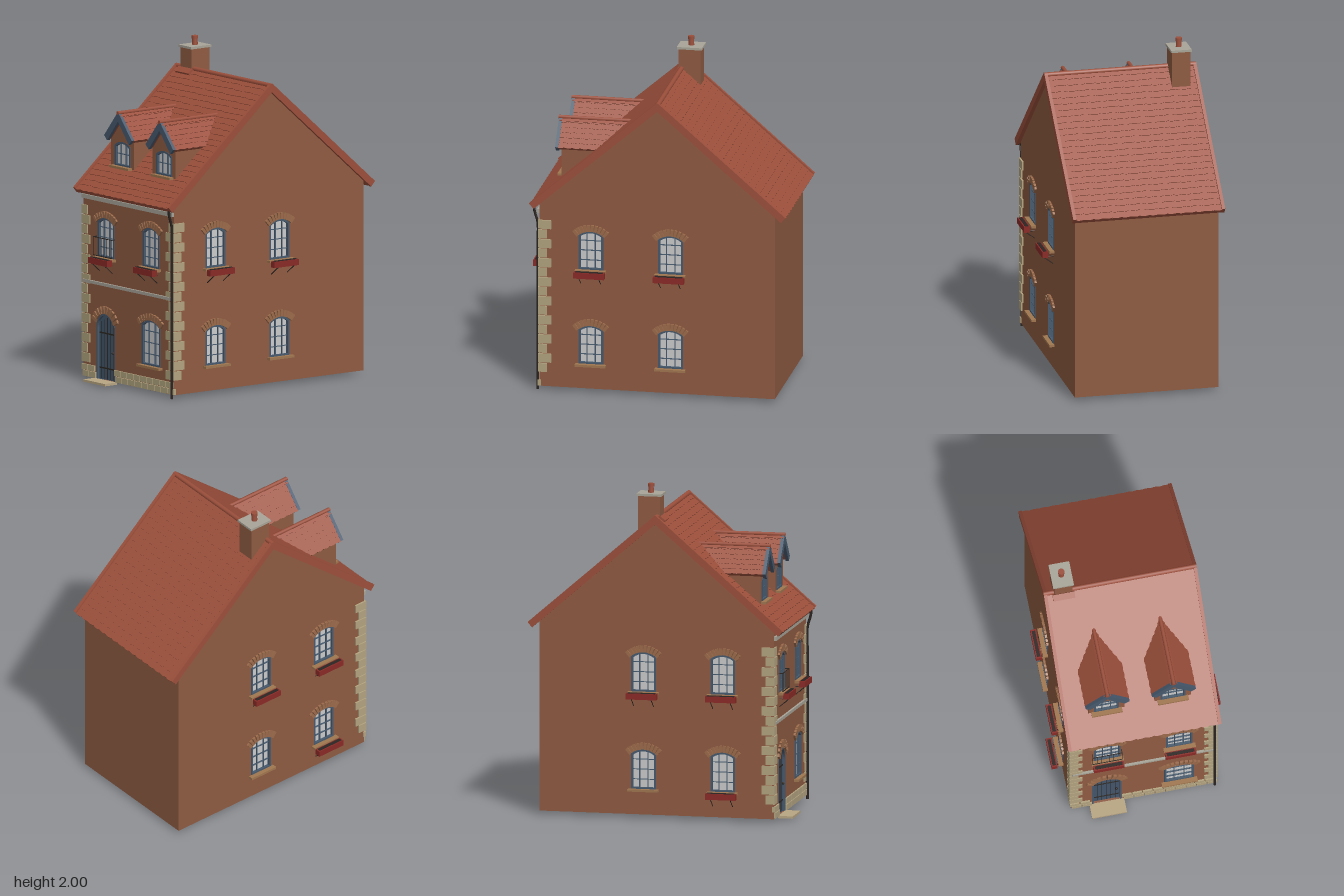
import * as THREE from 'three';

const COL = { wall: 0x8f5b42, roof: 0x9c4f3b, stone: 0xb3a480, arch: 0x9c6b4b, frame: 0x475a6e, door: 0x42566b,
  glass: 0xcccccc, red: 0x8a2a26, dark: 0x2b2522, trim: 0xa8a498, lining: 0xb8a683, sill: 0xa0764f };
const mats = {};
// Dark metalwork uses open tubes, so it is double sided
const mat = (c) => (mats[c] ??= new THREE.MeshStandardMaterial({ color: COL[c], side: c === 'dark' ? THREE.DoubleSide : THREE.FrontSide }));

function mk(parent, name, geo, c, x = 0, y = 0, z = 0) {
  const m = new THREE.Mesh(geo, mat(c));
  m.name = name;
  m.position.set(x, y, z);
  parent.add(m);
  return m;
}
const box = (p, name, c, w, h, d, x, y, z) => mk(p, name, new THREE.BoxGeometry(w, h, d), c, x, y, z);
const extrude = (shape, depth) => new THREE.ExtrudeGeometry(shape, { depth, bevelEnabled: false, curveSegments: 10 });
const poly = (pts) => new THREE.Shape(pts.map((p) => new THREE.Vector2(...p)));
function group(parent, name, x = 0, y = 0, z = 0, ry = 0) {
  const g = new THREE.Group();
  g.name = name;
  g.position.set(x, y, z);
  g.rotation.y = ry;
  parent.add(g);
  return g;
}
function rod(p, name, c, a, b, r) {
  const path = new THREE.LineCurve3(new THREE.Vector3(...a), new THREE.Vector3(...b));
  return mk(p, name, new THREE.TubeGeometry(path, 1, r, 6), c);
}

// Radius and half angle of an arch
function arc(w, rise) {
  const R = (w * w / 4 + rise * rise) / (2 * rise);
  return { R, a: Math.asin(Math.min(1, w / 2 / R)) };
}

// Opening outline with an arched head
function arched(x, y, w, h, rise, P = THREE.Shape) {
  const s = new P(), { R, a } = arc(w, rise);
  s.moveTo(x - w / 2, y);
  s.lineTo(x + w / 2, y);
  s.absarc(x, y + h - R, R, Math.PI / 2 - a, Math.PI / 2 + a, false);
  s.closePath();
  return s;
}

// Bricks fanned over an opening
function brickArch(g, w, h, rise, n, tall, spread) {
  const { R, a } = arc(w, rise), end = a * spread, r = R + tall / 2, bw = 2 * end * R / n * 0.95;
  for (let i = 0; i < n; i++) {
    const t = end - (i + 0.5) * 2 * end / n;
    box(g, 'archBrick', 'arch', bw, tall, 0.026, -Math.sin(t) * r, h - R + Math.cos(t) * r, 0).rotation.z = t;
  }
}

// Window: origin at sill centre, wall surface at z = 0
function addWindow(g, { w, h, rise, planter, plain }) {
  const frame = arched(0, 0, w, h, rise);
  frame.holes.push(arched(0, 0.012, w - 0.024, h - 0.024, rise * 0.85, THREE.Path));
  mk(g, 'windowFrame', extrude(frame, 0.02), 'frame', 0, 0, -0.018);
  mk(g, 'glass', extrude(arched(0, 0, w, h, rise), 0.008), 'glass', 0, 0, -0.022);
  for (const s of [-1, 1]) box(g, 'glazingBar', 'frame', 0.005, h - 0.024, 0.012, s * w / 6, h / 2, -0.01);
  const rows = plain ? 2 : 4;
  for (let i = 1; i < rows; i++) box(g, 'glazingBar', 'frame', w - 0.02, 0.004, 0.01, 0, h * i / rows, -0.01);
  if (!plain) brickArch(g, w, h, rise, 10, 0.04, 1.15);
  box(g, 'windowSill', 'sill', w + 0.035, 0.014, 0.04, 0, -0.005, 0.01);
  if (!planter) return;
  box(g, 'flowerBox', 'red', 0.185, 0.036, 0.036, 0, -0.018, planter);
  box(g, 'flowerBoxSoil', 'dark', 0.165, 0.004, 0.02, 0, 0.001, planter);
  for (const s of [-1, 1]) {
    rod(g, 'bracketArm', 'dark', [s * 0.06, -0.038, 0], [s * 0.06, -0.038, planter + 0.012], 0.0025);
    rod(g, 'bracketStrut', 'dark', [s * 0.06, -0.085, 0], [s * 0.06, -0.038, planter + 0.008], 0.0025);
  }
}

// Tiled slope rising towards local -z; eave at (y0, run)
function tiledSlope(parent, width, run, rise, y0, rows, tiles) {
  const g = group(parent, 'slope', 0, y0, run), len = Math.hypot(run, rise), pitch = len / rows;
  g.rotation.x = -Math.atan2(run, rise);
  box(g, 'roofBoard', 'roof', width, len, 0.026, 0, len / 2, -0.017);
  const s = new THREE.Shape(), tw = width / tiles;
  s.moveTo(-width / 2, 0);
  for (let i = 0; i < tiles; i++) for (let k = 1; k <= 4; k++)
    s.lineTo(-width / 2 + (i + k / 4) * tw, -0.005 * Math.sin(k / 4 * Math.PI));
  s.lineTo(width / 2, pitch);
  s.lineTo(-width / 2, pitch);
  const geo = extrude(s, 0.005);
  for (let i = 0; i < rows; i++) mk(g, 'tileRow', geo, 'roof', 0, i * pitch, -0.003).rotation.x = -0.08;
  return { g, len };
}

export function createModel() {
  const house = new THREE.Group();
  house.name = 'townHouse';
  const X = 0.437, ZF = 0.7, ZB = -0.72, Y0 = 0.024, EAVE = 1.15, T = 0.03;

  // Front wall with its openings
  const door = { x: -0.22, y: Y0, w: 0.18, h: 0.4, rise: 0.088 };
  const fronts = [
    { x: -0.217, y: 0.76, w: 0.158, h: 0.24, rise: 0.028, planter: 0.046 },
    { x: 0.217, y: 0.76, w: 0.158, h: 0.24, rise: 0.028, planter: 0.046 },
    { x: 0.217, y: 0.17, w: 0.18, h: 0.275, rise: 0.03 }];
  const fx = X - 0.001;
  const fw = poly([[-fx, Y0], [fx, Y0], [fx, EAVE], [-fx, EAVE]]);
  for (const o of [door, ...fronts]) fw.holes.push(arched(o.x, o === door ? o.y + 0.001 : o.y, o.w, o.h, o.rise, THREE.Path));
  mk(house, 'frontWall', extrude(fw, T), 'wall', 0, 0, ZF - T);
  for (const o of fronts) addWindow(group(house, 'frontWindow', o.x, o.y, ZF), o);
  box(house, 'backWall', 'wall', 2 * fx, EAVE - Y0, T, 0, (EAVE + Y0) / 2, ZB + T / 2);

  // Gable walls, each with four windows
  for (const s of [-1, 1]) {
    const g = group(house, s > 0 ? 'leftGable' : 'rightGable', s * X, 0, 0, s * Math.PI / 2);
    const gable = poly([[ZF, Y0], [ZF, 1.165], [-0.015, 1.79], [ZB, 1.175], [ZB, Y0]].map(([z, y]) => [-s * z, y]));
    for (const z of [0.39, -0.09]) for (const y of [0.175, 0.76]) {
      const o = { w: 0.15, h: 0.24, rise: 0.026, planter: (y > 0.5 || (s < 0 && z > 0)) && 0.055 };
      gable.holes.push(arched(-s * z, y, o.w, o.h, o.rise, THREE.Path));
      addWindow(group(g, 'sideWindow', -s * z, y, 0), o);
    }
    mk(g, 'gableWall', extrude(gable, T), 'wall', 0, 0, -T);
  }

  // Interior seen through the open underside
  const IX = X - T - 0.002;
  box(house, 'ceiling', 'lining', 2 * IX, 0.01, 1.35, 0, 1.11, -0.01);
  for (const s of [-1, 1]) box(house, 'sideLining', 'lining', 0.004, 1.06, 1.02, s * IX, 0.575, 0.16);
  box(house, 'frontLining', 'lining', 2 * IX, 1.06, 0.004, 0, 0.575, ZF - T - 0.003);
  box(house, 'groundFloor', 'lining', 2 * IX, 0.02, 0.565, 0, 0.045, 0.385);
  box(house, 'partition', 'lining', 2 * IX, 1.05, 0.02, 0, 0.58, 0.1);
  box(house, 'innerBlock', 'lining', 0.23, 0.4, 0.4, -0.235, 0.24, -0.11);
  box(house, 'innerBlock', 'lining', 0.2, 0.3, 0.4, 0.295, 0.2, -0.15);

  // Door, step and arch
  const d = group(house, 'frontDoor', door.x, Y0, ZF);
  mk(d, 'doorLeaf', extrude(arched(0, 0, door.w, door.h, door.rise), 0.012), 'door', 0, 0, -0.025);
  const surround = arched(0, 0, door.w, door.h, door.rise);
  surround.holes.push(arched(0, 0.001, 0.16, door.h - 0.012, 0.078, THREE.Path));
  mk(d, 'doorFrame', extrude(surround, 0.02), 'frame', 0, 0, -0.018);
  for (let i = -2; i <= 2; i++) box(d, 'plankGap', 'dark', 0.003, 0.37 - Math.abs(i) * 0.014, 0.002, i * 0.027, 0.19 - Math.abs(i) * 0.006, -0.012);
  for (const y of [0.07, 0.28]) box(d, 'doorStrap', 'dark', 0.15, 0.008, 0.004, 0, y, -0.011);
  mk(d, 'doorKnob', new THREE.SphereGeometry(0.008, 10, 8), 'dark', 0.06, 0.17, -0.006);
  brickArch(d, door.w, door.h, door.rise, 10, 0.045, 0.8);
  box(house, 'doorStep', 'lining', 0.21, 0.014, 0.09, -0.22, 0.019, 0.745);

  // Railing on the upper right-hand window
  const rail = group(house, 'balconyRail', -0.22, 0.765, ZF + 0.025);
  for (const y of [0.005, 0.115]) box(rail, 'railBar', 'dark', 0.18, 0.004, 0.004, 0, y, 0);
  for (let i = 0; i < 8; i++) box(rail, 'railPost', 'dark', 0.002, 0.115, 0.002, -0.0885 + i * 0.0253, 0.06, 0);
  for (const s of [-1, 1]) box(rail, 'railReturn', 'dark', 0.004, 0.004, 0.03, s * 0.088, 0.115, -0.012);

  // Corner stones and base course
  for (const s of [-1, 1]) for (let i = 0; i < 16; i++) {
    const w = i % 2 ? 0.055 : 0.08, dz = i % 2 ? 0.08 : 0.055;
    box(house, 'cornerStone', 'stone', w, 0.053, dz, s * (X + 0.01 - w / 2), 0.14 + i * 0.0592, ZF + 0.008 - dz / 2);
  }
  for (let r = 0; r < 2; r++) for (let i = 0; i < 14; i++) {
    const x = -0.408 + i * 0.0628 + (r ? -0.006 : 0.006);
    if (Math.abs(x + 0.22) > 0.115) box(house, 'baseStone', 'stone', 0.058, 0.034, 0.02, x, 0.044 + r * 0.038, ZF);
  }

  // Bands, gutter and downpipe
  box(house, 'stringCourse', 'trim', 0.86, 0.018, 0.022, 0, 0.6, ZF + 0.002);
  box(house, 'fascia', 'trim', 0.872, 0.025, 0.022, 0, 1.108, ZF + 0.004);
  mk(house, 'gutter', new THREE.CylinderGeometry(0.016, 0.016, 0.9, 10, 1, true, Math.PI / 2, Math.PI), 'dark', 0, 1.145, 0.734).rotation.z = Math.PI / 2;
  const pipe = new THREE.CatmullRomCurve3([[1.135, 0.734], [1.1, 0.73], [1.04, 0.712], [0.9, 0.711], [0.5, 0.711], [0.1, 0.711], [0.002, 0.711]]
    .map(([y, z]) => new THREE.Vector3(0.43, y, z)));
  mk(house, 'downpipe', new THREE.TubeGeometry(pipe, 40, 0.008, 8), 'dark');

  // Main roof with verge boards and ridge
  for (const [name, ry] of [['frontRoof', 0], ['backRoof', Math.PI]]) {
    const side = group(house, name, 0, 0, -0.015, ry);
    const { g, len } = tiledSlope(side, 0.9, 0.767, 0.664, 1.151, 24, 16);
    for (const s of [-1, 1]) box(g, 'vergeBoard', 'roof', 0.02, len, 0.042, s * 0.452, len / 2, -0.011);
  }
  mk(house, 'ridge', new THREE.CylinderGeometry(0.015, 0.015, 0.924, 10), 'roof', 0, 1.81, -0.015).rotation.z = Math.PI / 2;

  // Dormers
  for (const x of [-0.2, 0.2]) {
    const dm = group(house, 'dormer', x, 0, 0);
    const body = poly([[-0.11, 1.27], [0.11, 1.27], [0.11, 1.48], [0, 1.6], [-0.11, 1.48]]);
    body.holes.push(arched(0, 1.3, 0.15, 0.148, 0.025, THREE.Path));
    mk(dm, 'dormerWall', extrude(body, 0.34), 'wall', 0, 0, 0.25);
    addWindow(group(dm, 'dormerWindow', 0, 1.3, 0.59), { w: 0.15, h: 0.148, rise: 0.025, plain: true });
    for (const s of [-1, 1]) tiledSlope(group(dm, 'dormerRoof', 0, 0, 0.4, s * Math.PI / 2), 0.44, 0.13, 0.152, 1.475, 6, 9);
    const chevron = poly([[0, 1.632], [-0.133, 1.476], [-0.104, 1.448], [0, 1.574], [0.104, 1.448], [0.133, 1.476]]);
    mk(dm, 'dormerBargeBoard', extrude(chevron, 0.02), 'frame', 0, 0, 0.606);
    mk(dm, 'dormerRidge', new THREE.CylinderGeometry(0.012, 0.012, 0.44, 8), 'roof', 0, 1.625, 0.408).rotation.x = Math.PI / 2;
  }

  // Chimney
  const ch = group(house, 'chimney', -0.345, 0, -0.065);
  box(ch, 'chimneyStack', 'wall', 0.11, 0.28, 0.134, 0, 1.79, 0);
  box(ch, 'chimneyFlashing', 'roof', 0.132, 0.02, 0.04, 0, 1.795, 0.08).rotation.x = 0.71;
  box(ch, 'chimneyCap', 'trim', 0.125, 0.014, 0.152, 0, 1.938, 0);
  mk(ch, 'chimneyPot', new THREE.CylinderGeometry(0.015, 0.018, 0.055, 12), 'roof', 0, 1.97, 0);
  mk(ch, 'potRim', new THREE.CylinderGeometry(0.02, 0.02, 0.018, 12), 'roof', 0, 1.991, 0);
  return house;
}
